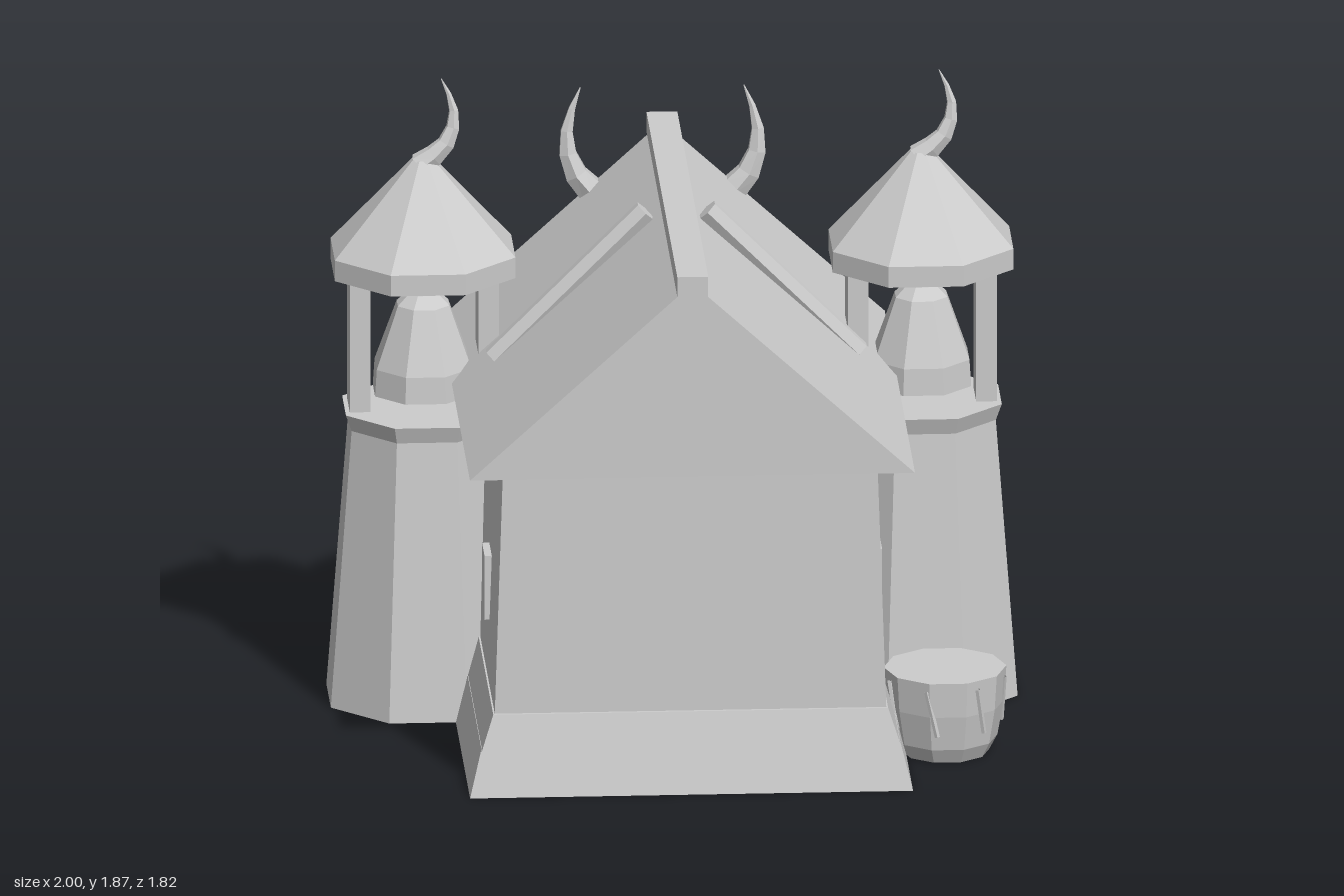
import * as THREE from 'three';
import { ConvexGeometry } from 'three/addons/geometries/ConvexGeometry.js';

const stone = new THREE.MeshStandardMaterial({ color: 0xcccccc, flatShading: true, side: THREE.DoubleSide });
stone.name = 'paleStone';

const V = (x, y, z) => new THREE.Vector3(x, y, z);

function add(parent, name, geometry, x = 0, y = 0, z = 0) {
  const mesh = new THREE.Mesh(geometry, stone);
  mesh.name = name;
  mesh.position.set(x, y, z);
  parent.add(mesh);
  return mesh;
}

// Box given by its lower and upper corners
function block(parent, name, a, b) {
  const g = new THREE.BoxGeometry(b[0] - a[0], b[1] - a[1], b[2] - a[2]);
  return add(parent, name, g, (a[0] + b[0]) / 2, (a[1] + b[1]) / 2, (a[2] + b[2]) / 2);
}

// Box whose top has its own half width and z range: [halfX, y, zBack, zFront]
function taperedBlock(parent, name, bottom, top) {
  const g = new THREE.BoxGeometry(2, 2, 2);
  const p = g.attributes.position;
  for (let i = 0; i < p.count; i++) {
    const [hx, y, zb, zf] = p.getY(i) > 0 ? top : bottom;
    p.setXYZ(i, p.getX(i) * hx, y, p.getZ(i) > 0 ? zf : zb);
  }
  return add(parent, name, g);
}

// Leaves a box hollow underneath by dropping its bottom face
function hollow(mesh) {
  const g = mesh.geometry;
  const index = Array.from(g.index.array);
  index.splice(18, 6);
  g.setIndex(index);
  g.clearGroups();
}

// Faceted turned shape; profile radii are measured to the flat sides
function turned(parent, name, profile, sides, x = 0, y = 0, z = 0) {
  const k = 1 / Math.cos(Math.PI / sides);
  const points = profile.map(([r, h]) => new THREE.Vector2(r * k, h));
  return add(parent, name, new THREE.LatheGeometry(points, sides, Math.PI / sides), x, y, z);
}

// Curved tube narrowing to a point
function horn(parent, name, points, radius) {
  const curve = new THREE.CatmullRomCurve3(points);
  const rings = 6, sides = 6;
  const g = new THREE.TubeGeometry(curve, rings, 1, sides);
  const p = g.attributes.position;
  for (let i = 0; i <= rings; i++) {
    const c = curve.getPointAt(i / rings);
    const r = radius * (1 - 0.97 * (i / rings) ** 1.1);
    for (let j = 0; j <= sides; j++) {
      const n = i * (sides + 1) + j;
      const v = V(0, 0, 0).fromBufferAttribute(p, n).sub(c).multiplyScalar(r).add(c);
      p.setXYZ(n, v.x, v.y, v.z);
    }
  }
  return add(parent, name, g);
}

function buildHouse(house) {
  hollow(taperedBlock(house, 'lowerPlinth', [0.645, 0, -0.645, 0.85], [0.61, 0.139, -0.615, 0.815]));
  taperedBlock(house, 'upperPlinth', [0.61, 0.135, -0.63, 0.83], [0.575, 0.24, -0.6, 0.805]);
  taperedBlock(house, 'walls', [0.57, 0.24, -0.55, 0.795], [0.545, 0.99, -0.535, 0.78]);

  // Gable roof
  const gable = new THREE.Shape([[-0.648, 0.985], [0.648, 0.985], [0, 1.575]].map(([x, y]) => new THREE.Vector2(x, y)));
  add(house, 'roof', new THREE.ExtrudeGeometry(gable, { depth: 1.545, bevelEnabled: false }), 0, 0, -0.65);
  block(house, 'ridgeBeam', [-0.045, 1.54, -0.665], [0.045, 1.6, 0.91]);

  for (const s of [-1, 1]) {
    const batten = new THREE.CylinderGeometry(0.031, 0.031, 0.625, 6).scale(1.15, 1, 1);
    add(house, 'roofBatten', batten, s * 0.311, 1.312, 0.065).rotation.z = s * Math.PI / 4;
    const x = s * 0.563;
    block(house, 'sideWindow', [x - 0.016, 0.41, 0.305], [x + 0.016, 0.605, 0.43]);
  }
}

function buildDoorway(door) {
  hollow(block(door, 'lowerStep', [-0.355, 0, -0.91], [0.355, 0.07, -0.6]));
  hollow(block(door, 'upperStep', [-0.315, 0.07, -0.79], [0.315, 0.135, -0.55]));
  for (const s of [-1, 1]) {
    block(door, 'doorPost', [s * 0.222 - 0.042, 0.135, -0.7], [s * 0.222 + 0.042, 0.73, -0.53]);
  }
  taperedBlock(door, 'lintel', [0.275, 0.73, -0.71, -0.53], [0.265, 0.81, -0.7, -0.53]);
  block(door, 'doorPanel', [-0.182, 0.135, -0.63], [0.182, 0.73, -0.53]);
  block(door, 'doorHandle', [-0.095, 0.405, -0.65], [-0.072, 0.435, -0.63]);
}

function buildTower(tower) {
  turned(tower, 'towerShaft', [[0.275, 0], [0.213, 0.835], [0.23, 0.885], [0, 0.885]], 8);
  for (const s of [-1, 1]) {
    block(tower, 'belfryPillar', [s * 0.187 - 0.03, 0.88, -0.067], [s * 0.187 + 0.03, 1.365, 0.067]);
  }
  turned(tower, 'bell', [[0.143, 0.93], [0.138, 1.01], [0.075, 1.195], [0.042, 1.228], [0, 1.228]], 8);
  turned(tower, 'bellHanger', [[0.035, 1.22], [0.035, 1.36]], 8);
  turned(tower, 'towerRoof', [[0.263, 1.3], [0.263, 1.363], [0.03, 1.635], [0, 1.635]], 8);
  horn(tower, 'roofHorn', [V(-0.01, 1.615, 0), V(0.06, 1.67, 0), V(0.09, 1.74, -0.01), V(0.085, 1.8, -0.018), V(0.054, 1.87, -0.028)], 0.038);
}

function buildHead(head) {
  // Shield-shaped skull with a raised centre line
  const pts = [V(0, 1.385, -0.66), V(0, 1.235, -0.757), V(0, 1.11, -0.748), V(0, 0.905, -0.67)];
  for (const s of [-1, 1]) {
    pts.push(V(s * 0.11, 1.375, -0.645), V(s * 0.195, 1.29, -0.645), V(s * 0.18, 1.16, -0.645),
      V(s * 0.06, 0.905, -0.645), V(s * 0.09, 1.27, -0.72), V(s * 0.085, 1.12, -0.715));
    horn(head, 'headHorn', [V(s * 0.15, 1.335, -0.645), V(s * 0.225, 1.385, -0.64), V(s * 0.272, 1.47, -0.642),
      V(s * 0.276, 1.57, -0.65), V(s * 0.238, 1.68, -0.66)], 0.052);
    const brow = add(head, 'brow', new THREE.BoxGeometry(0.07, 0.03, 0.035), s * 0.095, 1.205, -0.735);
    brow.rotation.z = s * 0.25;
  }
  add(head, 'skull', new ConvexGeometry(pts));
  // Wedge-shaped nose
  const nose = [];
  for (const [y, z] of [[1.1, -0.745], [1.24, -0.74]]) {
    nose.push(V(0, y, z - 0.057), V(-0.05, y, z), V(0.05, y, z));
  }
  add(head, 'noseRidge', new ConvexGeometry(nose));
}

function buildDrum(drum) {
  turned(drum, 'drumBody', [[0.122, 0], [0.145, 0.045], [0.163, 0.15], [0.17, 0.255], [0, 0.255]], 10);
  // Slanted pegs around the side
  for (let i = 0; i < 7; i++) {
    const a = i * Math.PI * 2 / 7 + 0.15;
    const at = (t, r, y) => V(Math.cos(t) * r, y, Math.sin(t) * r);
    const line = new THREE.LineCurve3(at(a, 0.172, 0.23), at(a - 0.18, 0.163, 0.09));
    add(drum, 'drumPeg', new THREE.TubeGeometry(line, 1, 0.008, 5));
  }
}

function buildBrazier(brazier) {
  turned(brazier, 'brazierFoot', [[0.078, 0], [0.086, 0.05], [0.07, 0.07]], 10);
  turned(brazier, 'brazierBowl', [[0, 0.062], [0.085, 0.062], [0.125, 0.112], [0.123, 0.128], [0, 0.122]], 10);
  for (const [x, z] of [[0.035, -0.015], [-0.035, -0.015], [0, 0.045]]) {
    add(brazier, 'brazierSpike', new THREE.ConeGeometry(0.017, 0.07, 4), x, 0.155, z);
  }
}

export function createModel() {
  const model = new THREE.Group();
  model.name = 'shrineHouse';
  const part = (name, build, x = 0, z = 0) => {
    const g = new THREE.Group();
    g.name = name;
    g.position.set(x, 0, z);
    build(g);
    model.add(g);
  };
  part('house', buildHouse);
  part('doorway', buildDoorway);
  part('hornedHead', buildHead);
  part('drum', buildDrum, 0.76, 0.465);
  for (const s of [-1, 1]) {
    const side = s > 0 ? 'left' : 'right';
    part(side + 'BellTower', buildTower, s * 0.725, -0.15);
    part(side + 'Brazier', buildBrazier, s * 0.53, -0.748);
  }
  return model;
}
